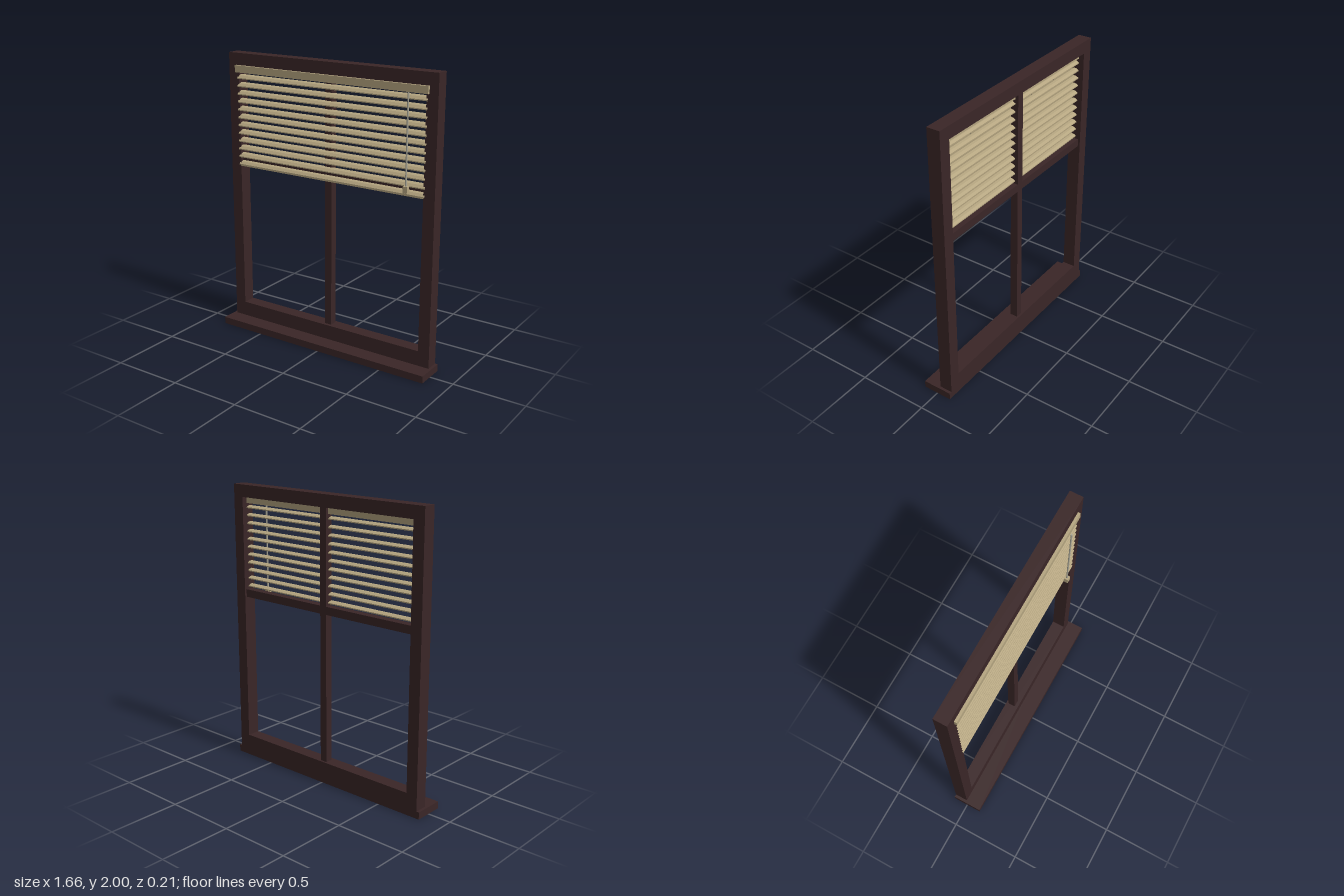
import * as THREE from 'three';

export function createModel() {
  const model = new THREE.Group();
  const wood = new THREE.MeshStandardMaterial({ name: 'dark wood', color: 0x3a2627 });
  const tan = new THREE.MeshStandardMaterial({ name: 'tan blind', color: 0xb5a580 });
  const clear = new THREE.MeshStandardMaterial({ name: 'pale wand', color: 0xaaa797 });

  const add = (parent, name, geometry, material) => {
    const mesh = new THREE.Mesh(geometry, material);
    mesh.name = name;
    parent.add(mesh);
    return mesh;
  };
  // Box given by its limits on each axis
  const box = (parent, name, material, [x0, x1], [y0, y1], [z0, z1]) => {
    const mesh = add(parent, name, new THREE.BoxGeometry(x1 - x0, y1 - y0, z1 - z0), material);
    mesh.position.set((x0 + x1) / 2, (y0 + y1) / 2, (z0 + z1) / 2);
    return mesh;
  };

  // Window frame: one rectangular ring
  const windowFrame = new THREE.Group();
  windowFrame.name = 'windowFrame';
  model.add(windowFrame);
  const back = -0.105, front = -0.012;
  const rect = (Type, x, y0, y1) => new Type([
    new THREE.Vector2(-x, y0), new THREE.Vector2(x, y0),
    new THREE.Vector2(x, y1), new THREE.Vector2(-x, y1),
  ]);
  const outline = rect(THREE.Shape, 0.812, 0.05, 2);
  outline.holes.push(rect(THREE.Path, 0.73, 0.155, 1.915));
  const ring = new THREE.ExtrudeGeometry(outline, { depth: front - back, bevelEnabled: false });
  add(windowFrame, 'outerFrame', ring, wood).position.z = back;
  box(windowFrame, 'sill', wood, [-0.832, 0.832], [0, 0.05], [-0.105, 0.105]);

  // Glazing bars
  box(windowFrame, 'verticalBar', wood, [-0.027, 0.025], [0.155, 1.915], [-0.09, -0.035]);
  box(windowFrame, 'crossBar', wood, [-0.73, 0.73], [1.207, 1.262], [-0.09, -0.035]);

  // Blind: headrail, valance, slats and bottom rail
  const blind = new THREE.Group();
  blind.name = 'blind';
  model.add(blind);
  box(blind, 'headrail', tan, [-0.73, 0.73], [1.87, 1.914], [-0.068, -0.01]);
  box(blind, 'valance', tan, [-0.75, 0.75], [1.868, 1.917], [-0.012, 0.006]);

  // Crowned slat section, front edge lowest (shape x runs towards the back)
  const crown = [[0.004, -0.014], [0.018, 0.002], [0.035, 0.009], [0.052, 0.007], [0.069, -0.002]];
  const thickness = 0.007;
  const section = new THREE.Shape([
    ...crown.map(([d, y]) => new THREE.Vector2(d, y)),
    ...crown.slice().reverse().map(([d, y]) => new THREE.Vector2(d, y + thickness)),
  ]);
  const slat = new THREE.ExtrudeGeometry(section, { depth: 1.48, bevelEnabled: false });
  slat.translate(0, 0, -0.74).rotateY(Math.PI / 2);
  for (let i = 0; i < 12; i++) {
    add(blind, 'slat', slat, tan).position.y = 1.225 + i * 0.0556;
  }
  box(blind, 'bottomRail', tan, [-0.73, 0.73], [1.204, 1.219], [-0.066, -0.006]);

  // Tilt wand with its handle
  const wand = add(blind, 'wand', new THREE.CylinderGeometry(0.006, 0.006, 0.6, 8), clear);
  wand.position.set(0.62, 1.57, 0.015);
  box(blind, 'wandHandle', tan, [0.604, 0.636], [1.23, 1.275], [0, 0.03]);

  return model;
}
